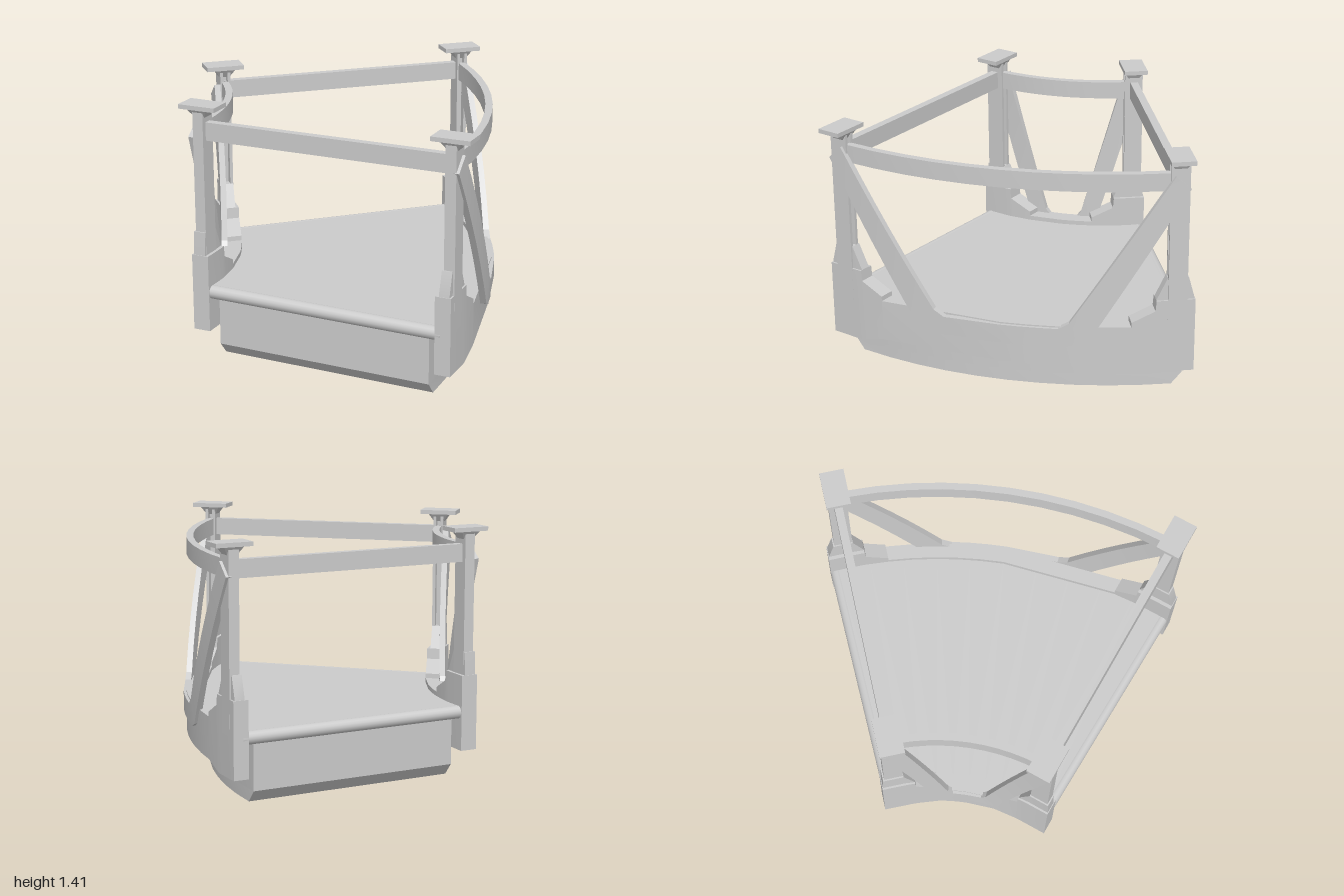
import * as THREE from 'three';
import { toCreasedNormals } from 'three/addons/utils/BufferGeometryUtils.js';

const RAD = Math.PI / 180;
const CENTER = -1.93;      // arc centre along the symmetry axis
const POST_ANGLE = 21.1;   // degrees either side of the axis
const END_ANGLE = 22.5;
const SIDES = [
  { name: 'outer', post: 2.587, skirt: [2.53, 2.618], crown: [2.55, 2.608], brace: [2.6, 2.634], end: 0.098 },
  { name: 'inner', post: 1.155, skirt: [1.108, 1.205], crown: [1.118, 1.185], brace: [1.092, 1.125], end: 0.07 },
];
const mat = new THREE.MeshStandardMaterial({ color: 0xcccccc, side: THREE.DoubleSide });

function add(parent, name, geo, x = 0, y = 0, z = 0) {
  const m = new THREE.Mesh(geo, mat);
  m.name = name;
  m.position.set(x, y, z);
  parent.add(m);
  return m;
}

// Point on the arc: angle in degrees plus an arc-length offset t
function onArc(r, deg, t, y) {
  const a = deg * RAD + t / r;
  return [CENTER + r * Math.cos(a), y, r * Math.sin(a)];
}

// Bent plate between radii r0 and r1.
// Row: [bottom deg, bottom t, bottom y, top deg, top t, top y, steps to next row]
function bentPlate(rows, r0, r1) {
  const fine = [];
  rows.forEach((row, i) => {
    const next = rows[i + 1];
    const n = next ? row[6] || 1 : 1;
    for (let k = 0; k < n; k++) {
      fine.push(row.slice(0, 6).map((v, j) => (next ? v + (next[j] - v) * k / n : v)));
    }
  });
  const loops = fine.map(([a, t, y, b, u, h]) =>
    [onArc(r1, a, t, y), onArc(r1, b, u, h), onArc(r0, b, u, h), onArc(r0, a, t, y)]);
  const pos = [];
  const quad = (a, b, c, d) => pos.push(...a, ...b, ...c, ...a, ...c, ...d);
  for (let i = 0; i < loops.length - 1; i++) {
    const p = loops[i], q = loops[i + 1];
    for (let k = 0; k < 4; k++) {
      const l = (k + 1) % 4;
      quad(p[k], p[l], q[l], q[k]);
    }
  }
  const s = loops[0], e = loops[loops.length - 1];
  quad(s[0], s[3], s[2], s[1]);
  quad(e[0], e[1], e[2], e[3]);
  const geo = new THREE.BufferGeometry();
  geo.setAttribute('position', new THREE.Float32BufferAttribute(pos, 3));
  geo.computeVertexNormals();
  return toCreasedNormals(geo, 0.35);
}

// Mirror rows listed from the middle outwards into a full span
function mirrored(half, steps) {
  const flip = half.map(([a, t, y, b, u, h], i) =>
    [-a, -t, y, -b, -u, h, i === 1 ? steps : 1]).reverse();
  const out = half.map((r, i) => [...r, i === 0 ? steps : 1]);
  return [...flip, ...out.slice(1)];
}

// Same bottom and top position along the arc
const row = (deg, t, y, h) => [deg, t, y, deg, t, h];

function buildSide(root, S) {
  const P = POST_ANGLE;
  const g = new THREE.Group();
  g.name = S.name + 'Side';
  root.add(g);

  // Curved skirt, deeper and stepped up near both ends
  add(g, S.name + 'Skirt', bentPlate(mirrored([
    row(0, 0, 0.19, 0.428),
    row(P, -0.25, 0.19, 0.428),
    row(P, -0.249, 0.19, 0.455),
    row(P, -0.12, 0.157, 0.52),
    row(P, -0.115, 0.155, 0.58),
    row(P, -0.085, 0.15, 0.58),
    row(P, S.end, 0.15, 0.58),
  ], 5), ...S.skirt));

  // Thin curved handrail
  add(g, S.name + 'TopRail', bentPlate([
    [...row(-P, 0.04, 1.215, 1.315), 10], row(P, -0.04, 1.215, 1.315),
  ], S.post - 0.02, S.post + 0.02));

  // Trapezoidal brace: two diagonals joined by a flat bottom strap
  const outer = S.name === 'outer';
  const low = outer ? [9.1, 10.4] : [7.6, 9.3];
  const high = outer ? [7, 8.3] : [4.2, 5.6];
  const tip = outer ? [22.3, 20.5] : [23.4, 18.4];
  const half = [
    row(0, 0, 0.31, 0.42),
    [low[0], 0, 0.31, high[0], 0, 0.42],
    [low[1], 0, 0.335, high[1], 0, 0.455],
    [tip[0], 0, 1.23, tip[1], 0, 1.305],
  ];
  const rows = mirrored(half, 3);
  rows[0][6] = rows[rows.length - 2][6] = 6;
  rows[2][6] = 3;
  add(g, S.name + 'Brace', bentPlate(rows, ...S.brace));

  for (const s of [-1, 1]) {
    // Tapered crown around the foot of the post
    const crown = [
      row(s * P, -0.115 * s, 0.5, 0.582),
      row(s * P, -0.055 * s, 0.5, 0.71),
      row(s * P, 0.06 * s, 0.5, 0.71),
      row(s * P, (S.end - 0.004) * s, 0.5, 0.585),
    ];
    if (s < 0) crown.reverse();
    add(g, S.name + 'PostFoot', bentPlate(crown, ...S.crown));

    // Channel post, open towards the bay, with flared head and cap plate
    const post = new THREE.Group();
    post.name = S.name + 'Post';
    post.position.set(...onArc(S.post, s * P, 0, 0));
    post.rotation.y = -s * P * RAD;
    g.add(post);
    add(post, 'postWeb', new THREE.BoxGeometry(0.06, 1.0, 0.065), 0, 0.88, s * 0.02);
    for (const k of [-1, 1]) {
      add(post, 'postFlange', new THREE.BoxGeometry(0.017, 1.0, 0.105), k * 0.0215, 0.88, 0);
    }
    const flare = new THREE.CylinderGeometry(0.08, 0.042, 0.045, 4).rotateY(Math.PI / 4).toNonIndexed();
    flare.computeVertexNormals();
    add(post, 'postHead', flare, 0, 1.364, 0).scale.z = 1.1;
    add(post, 'postCap', new THREE.BoxGeometry(0.213, 0.024, 0.135), 0, 1.398, 0);
  }
}

export function createModel() {
  const model = new THREE.Group();
  model.name = 'curvedWalkway';
  const root = new THREE.Group();
  root.name = 'walkwaySegment';
  root.rotation.y = END_ANGLE * RAD;
  root.position.set(0.079, 0, 0.19);
  model.add(root);

  // Floor and the chamfered body beneath it
  const E = END_ANGLE;
  add(root, 'deck', bentPlate([[...row(-E, 0, 0.335, 0.402), 10], row(E, 0, 0.335, 0.402)], 1.16, 2.57));
  add(root, 'underbody', bentPlate([
    [...row(-E, 0, 0.07, 0.36), 10], row(E, 0, 0.07, 0.36)], 1.245, 2.485));
  add(root, 'underbodyChamfer', bentPlate([
    [-E, 0.06, 0, -E, 0, 0.07, 10], [E, -0.06, 0, E, 0, 0.07]], 1.245, 2.485));

  SIDES.forEach((S) => buildSide(root, S));

  // Rounded deck lips and straight rails across both ends
  const rMid = (SIDES[0].post + SIDES[1].post) / 2;
  const span = SIDES[0].post - SIDES[1].post;
  for (const s of [-1, 1]) {
    const lip = add(root, 'deckLip',
      new THREE.CylinderGeometry(0.037, 0.037, 1.38, 16).rotateZ(Math.PI / 2),
      ...onArc(1.87, s * E, 0, 0.367));
    lip.rotation.y = -s * E * RAD;
    const rail = add(root, 'endRail', new THREE.BoxGeometry(span, 0.1, 0.045),
      ...onArc(rMid, s * POST_ANGLE, 0, 1.265));
    rail.rotation.y = -s * POST_ANGLE * RAD;
  }
  return model;
}
